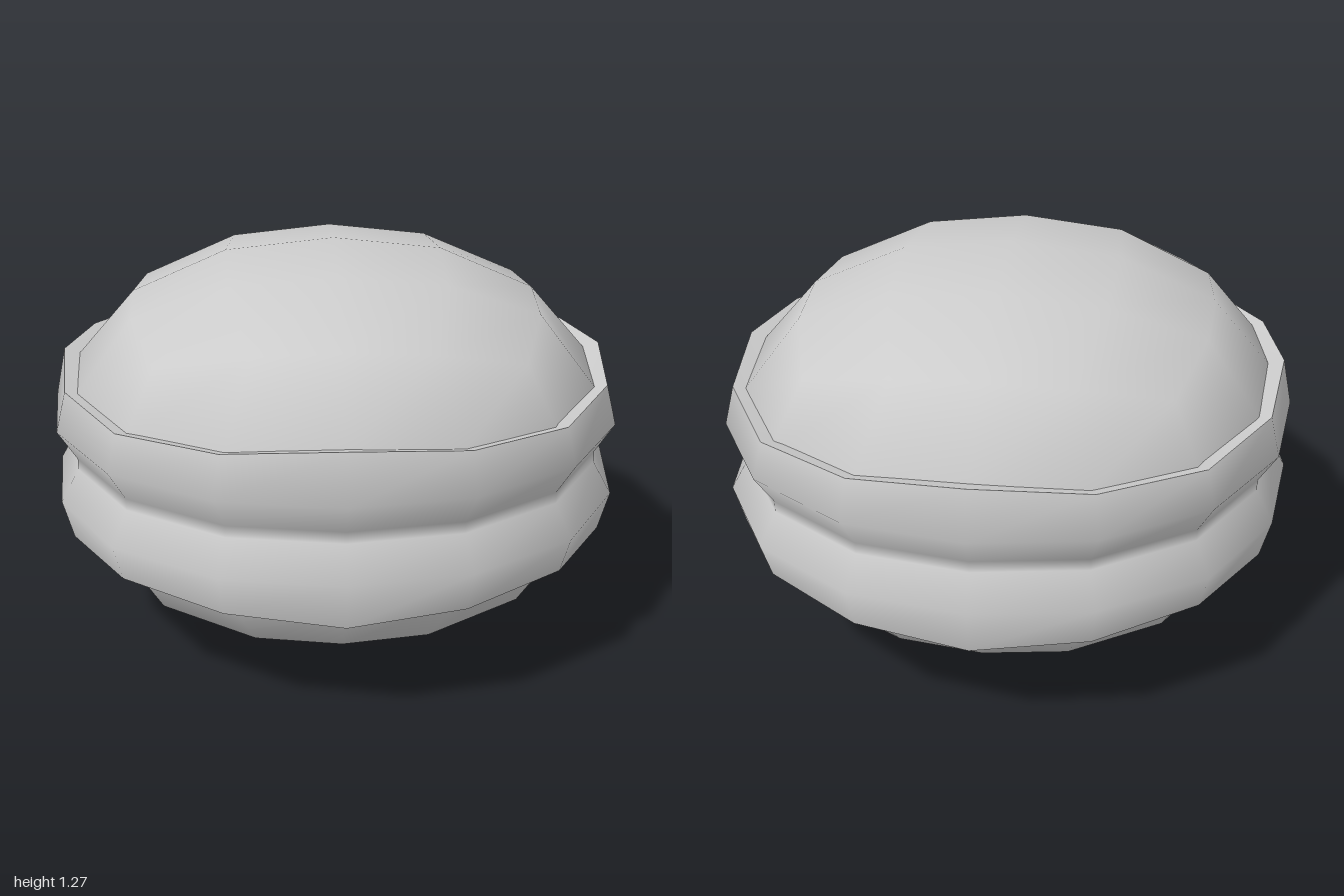
import * as THREE from 'three';
import { mergeVertices } from 'three/addons/utils/BufferGeometryUtils.js';

const MID = 0.633; // height of the seam
const POWER = 2.2; // slightly fuller than an ellipsoid
const material = new THREE.MeshStandardMaterial({ color: 0xcccccc, side: THREE.DoubleSide });

function addPart(group, name, geometry) {
  geometry.computeVertexNormals();
  const mesh = new THREE.Mesh(geometry, material);
  mesh.name = name;
  group.add(mesh);
}

// Puffy ellipsoid made from a rounded 4 x 4 x 4 box, pinched at the seam
function bodyGeometry() {
  let geo = new THREE.BoxGeometry(2, 2, 2, 4, 4, 4);
  geo.deleteAttribute('uv');
  geo.deleteAttribute('normal');
  geo = mergeVertices(geo);
  const pos = geo.attributes.position;
  for (let i = 0; i < pos.count; i++) {
    const p = [pos.getX(i), pos.getY(i), pos.getZ(i)].map(v => Math.tan(v * Math.PI / 4));
    const len = p.reduce((s, v) => s + Math.abs(v) ** POWER, 0) ** (1 / POWER);
    const [x, y, z] = p.map(v => v / len);
    const pinch = Math.abs(y) < 0.01 ? 0.93 : 1;
    pos.setXYZ(i, x * 0.9 * pinch, MID + y * 0.633, z * 0.975 * pinch);
  }
  return geo;
}

// Sixteen-sided ring swept from a profile of [scale, height, wave];
// wave lowers (or raises) the row towards the four diagonal corners
function ringGeometry(profile) {
  const sides = 16, positions = [], index = [];
  for (const [scale, height, wave] of profile) {
    for (let i = 0; i < sides; i++) {
      const t = i / sides * Math.PI * 2;
      const s = Math.sin(t), c = Math.cos(t);
      const r = scale / (Math.abs(s) ** POWER + Math.abs(c) ** POWER) ** (1 / POWER);
      const corner = Math.abs(Math.sin(2 * t)) ** 1.3;
      positions.push(s * r * 0.925, MID + height + wave * corner, c * r);
    }
  }
  for (let j = 0; j < profile.length - 1; j++) {
    for (let i = 0; i < sides; i++) {
      const a = j * sides + i, b = j * sides + (i + 1) % sides;
      index.push(a, b, b + sides, a, b + sides, a + sides);
    }
  }
  const geo = new THREE.BufferGeometry();
  geo.setAttribute('position', new THREE.Float32BufferAttribute(positions, 3));
  geo.setIndex(index);
  return geo;
}

export function createModel() {
  const group = new THREE.Group();
  group.name = 'shell';
  addPart(group, 'body', bodyGeometry());

  // Double rim with a groove along the seam
  const upper = [[0.937, 0.018, 0], [1, 0.117, 0], [0.965, 0.267, -0.037]];
  const lower = upper.map(([s, h, w]) => [s, -h, -w]).reverse();
  addPart(group, 'doubleRim', ringGeometry([...lower, ...upper]));

  // Ledges closing the rim against the body
  const edge = upper[2], inner = [0.85, 0.237, -0.037];
  addPart(group, 'upperLedge', ringGeometry([edge, inner]));
  addPart(group, 'lowerLedge', ringGeometry([inner, edge].map(([s, h, w]) => [s, -h, -w])));
  return group;
}
